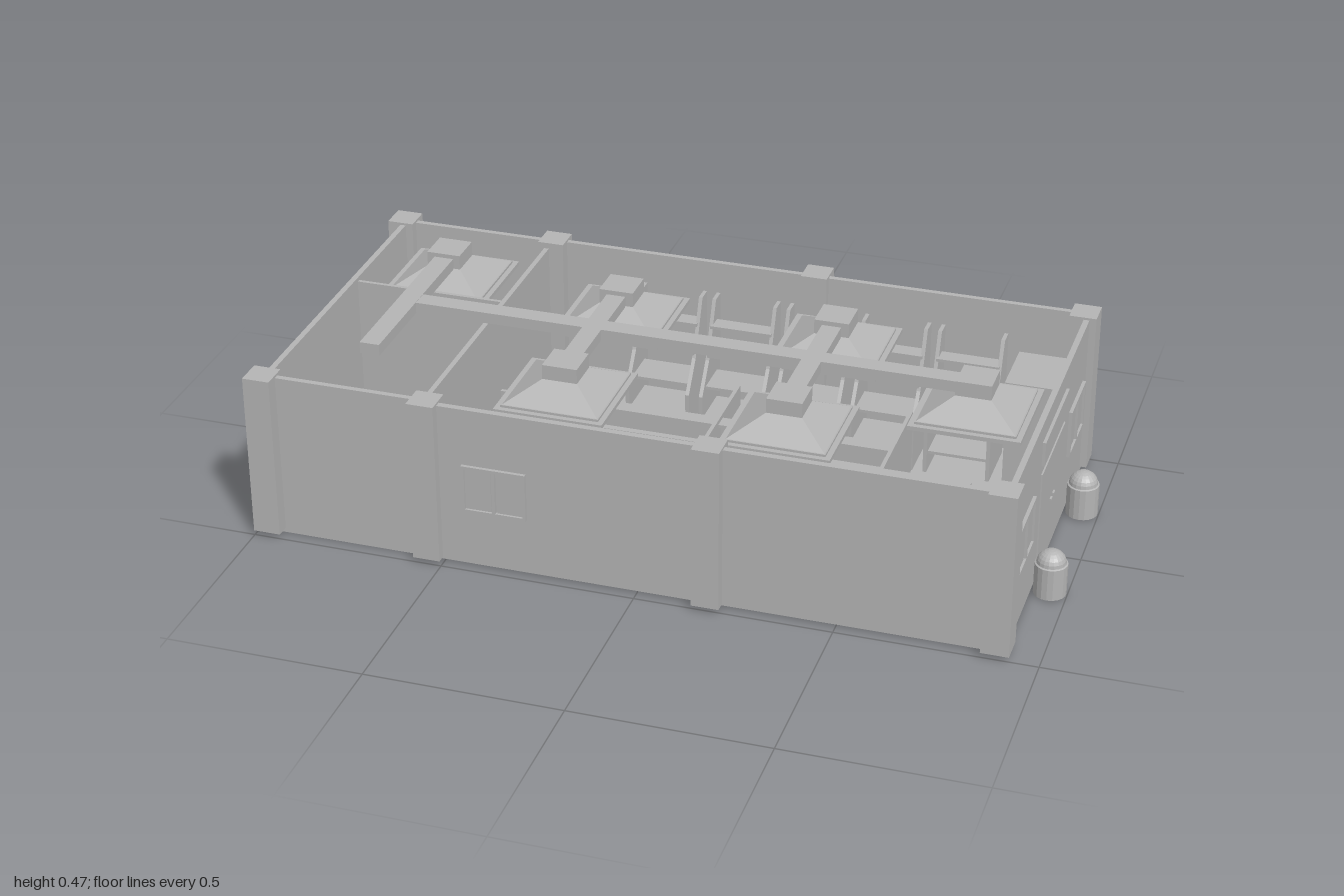
import * as THREE from 'three';

export function createModel() {
  const root = new THREE.Group();
  const plaster = new THREE.MeshStandardMaterial({ color: 0xb4b4b4 });
  plaster.name = 'plainGrey';

  const add = (name, geo, parent = root) => {
    const m = new THREE.Mesh(geo, plaster);
    m.name = name;
    parent.add(m);
    return m;
  };
  // Box given by its minimum and maximum on each axis
  const box = (name, x0, x1, y0, y1, z0, z1, parent = root) => {
    const g = new THREE.BoxGeometry(x1 - x0, y1 - y0, z1 - z0);
    g.translate((x0 + x1) / 2, (y0 + y1) / 2, (z0 + z1) / 2);
    return add(name, g, parent);
  };
  const group = (name) => {
    const g = new THREE.Group();
    g.name = name;
    root.add(g);
    return g;
  };

  // Floor slab and outer walls
  box('floorSlab', -0.97, 0.91, 0, 0.016, -0.465, 0.465);
  box('leftEndWall', -0.965, -0.95, 0.015, 0.44, -0.465, 0.465);
  box('doorWall', 0.895, 0.91, 0.015, 0.44, -0.465, 0.465);
  box('backWall', -0.54, 0.9, 0.015, 0.44, -0.478, -0.463);
  box('backRoomRearWall', -0.96, -0.54, 0.015, 0.44, -0.47, -0.455);
  box('frontWall', -0.54, 0.9, 0.015, 0.44, 0.463, 0.48);
  box('backRoomFrontWall', -0.96, -0.54, 0.015, 0.44, 0.452, 0.467);

  // Inner partitions
  box('storePartition', -0.555, -0.542, 0.015, 0.43, -0.46, 0.46);
  box('officePartition', -0.95, -0.55, 0.015, 0.43, -0.11, -0.1);

  // Pillars along both long walls
  for (const side of [-1, 1])
    for (const x of [-0.965, -0.537, 0.183, 0.893]) {
      const z = side * 0.467 + (x === 0.183 ? (side < 0 ? -0.013 : 0.006) : 0);
      box('pillar', x - 0.035, x + 0.035, 0.014, 0.446, z - 0.036, z + 0.036);
    }

  // Framed two-pane window, built facing +z around its centre
  const makeWindow = (name, w) => {
    const g = group(name), h = 0.128, t = 0.008;
    for (const s of [-1, 1]) {
      box('windowRail', -w / 2, w / 2, s * (h / 2 - t / 2) - t / 2, s * (h / 2 - t / 2) + t / 2, 0, 0.009, g);
      box('windowStile', s * (w / 2 - t / 2) - t / 2, s * (w / 2 - t / 2) + t / 2, -h / 2, h / 2, 0, 0.009, g);
      box('windowPane', s * w / 4 - w / 4 + t, s * w / 4 + w / 4 - t, -h / 2 + t, h / 2 - t, 0, 0.003, g);
    }
    box('windowMullion', -t / 2, t / 2, -h / 2, h / 2, 0, 0.009, g);
    return g;
  };
  for (const z of [0.3, -0.303]) {
    const w = makeWindow('doorWallWindow', 0.175);
    w.rotation.y = Math.PI / 2;
    w.position.set(0.91, 0.224, z);
  }
  makeWindow('frontWindow', 0.165).position.set(-0.36, 0.224, 0.48);

  // Double door, handles and blank sign board
  box('doors', 0.908, 0.914, 0.016, 0.297, -0.15, 0.125);
  for (const z of [0.003, -0.029]) box('doorHandle', 0.913, 0.919, 0.162, 0.166, z - 0.008, z + 0.008);
  box('signBoard', 0.908, 0.918, 0.323, 0.387, -0.157, 0.128);

  // Dome-topped posts outside and bins inside
  const profile = [new THREE.Vector2(0, 0), new THREE.Vector2(0.041, 0), new THREE.Vector2(0.041, 0.084), new THREE.Vector2(0.037, 0.086)];
  for (let i = 1; i <= 6; i++) {
    const a = (i / 6) * Math.PI / 2;
    profile.push(new THREE.Vector2(Math.max(0, 0.037 * Math.cos(a)), 0.086 + 0.034 * Math.sin(a)));
  }
  const domed = new THREE.LatheGeometry(profile, 18).toNonIndexed();
  domed.computeVertexNormals();
  for (const [x, z] of [[0.957, 0.172], [0.957, -0.225]]) add('bollard', domed).position.set(x, 0.002, z);
  for (const [x, z] of [[0.828, 0.39], [-0.2, 0.33]]) add('litterBin', domed).position.set(x, 0.016, z);

  // Overhead ducts
  box('mainDuct', -0.765, 0.69, 0.43, 0.459, -0.029, 0.021);
  box('endDuct', -0.79, -0.738, 0.43, 0.46, -0.25, 0.265);
  for (const x of [-0.265, 0.305]) box('branchDuct', x - 0.025, x + 0.025, 0.43, 0.459, -0.19, 0.19);

  // Square ceiling vents: box, sloped hood, stepped rim
  const hood = new THREE.CylinderGeometry(0.045 * Math.SQRT2, 0.125 * Math.SQRT2, 0.045, 4, 1).toNonIndexed();
  hood.rotateY(Math.PI / 4);
  hood.computeVertexNormals();
  const vents = [[-0.765, -0.285], [-0.265, -0.215], [0.305, -0.215], [-0.265, 0.217], [0.305, 0.217], [0.718, -0.003]];
  for (const [x, z] of vents) {
    const g = group('ceilingVent');
    box('ventBox', -0.045, 0.045, 0.425, 0.471, -0.045, 0.045, g);
    add('ventHood', hood, g).position.y = 0.41;
    box('ventRim', -0.14, 0.14, 0.372, 0.383, -0.14, 0.14, g);
    box('ventStep', -0.126, 0.126, 0.382, 0.389, -0.126, 0.126, g);
    g.position.set(x, 0, z);
  }

  // Row of shelf racks along the back wall, with stepped side panels
  const panelShape = new THREE.Shape([[0, 0], [0.16, 0], [0.16, 0.12], [0.1, 0.2], [0.04, 0.35], [0, 0.35]].map((p) => new THREE.Vector2(...p)));
  const panel = new THREE.ExtrudeGeometry(panelShape, { depth: 0.01, bevelEnabled: false });
  panel.rotateY(-Math.PI / 2);
  for (let i = 0; i < 5; i++) {
    const g = group('wallRack');
    add('rackSide', panel, g).position.x = 0.01;
    add('rackSide', panel, g).position.x = 0.175;
    [[0.05, 0.12], [0.13, 0.1], [0.21, 0.075], [0.28, 0.045]].forEach(([y, d]) =>
      box('rackShelf', 0.005, 0.17, y, y + 0.008, 0.03, 0.03 + d, g));
    g.position.set(-0.28 + i * 0.202, 0.016, -0.44);
  }

  // Upright cabinet in the back corner
  box('cornerCabinet', 0.735, 0.86, 0.016, 0.3, -0.455, -0.29);
  box('cabinetTop', 0.73, 0.865, 0.3, 0.308, -0.46, -0.285);

  // Long cabinet by the front wall
  box('longCabinet', 0.105, 0.78, 0.016, 0.36, 0.315, 0.435);

  // Central aisle unit: thin spine, upright frames and rails
  box('aisleSpine', -0.55, 0.5, 0.03, 0.2, -0.058, -0.048);
  for (const x of [-0.43, 0.047, 0.505]) {
    box('aisleUpright', x - 0.005, x + 0.005, 0.016, 0.22, -0.225, 0.11);
  }
  for (const y of [0.08, 0.14, 0.2]) box('aisleRail', -0.43, 0.505, y, y + 0.008, -0.07, -0.03);

  // Small wire-sided tables near the door
  for (const x of [0.41, 0.555])
    for (const z of [-0.05, 0.055, 0.16]) {
      if (x < 0.5 && z > 0.1) continue;
      const g = group('displayTable');
      box('tableTop', -0.045, 0.045, 0.08, 0.088, -0.03, 0.03, g);
      for (const s of [-1, 1]) {
        box('tableRim', -0.05, 0.05, 0.08, 0.11, s * 0.032 - 0.004, s * 0.032 + 0.004, g);
        box('tableRim', s * 0.046 - 0.004, s * 0.046 + 0.004, 0.08, 0.11, -0.034, 0.034, g);
        for (const t of [-1, 1]) box('tableLeg', s * 0.044 - 0.004, s * 0.044 + 0.004, 0.016, 0.08, t * 0.03 - 0.004, t * 0.03 + 0.004, g);
      }
      g.position.set(x, 0, z);
    }
  box('tableRail', 0.48, 0.625, 0.09, 0.098, 0.207, 0.213);
  return root;
}
